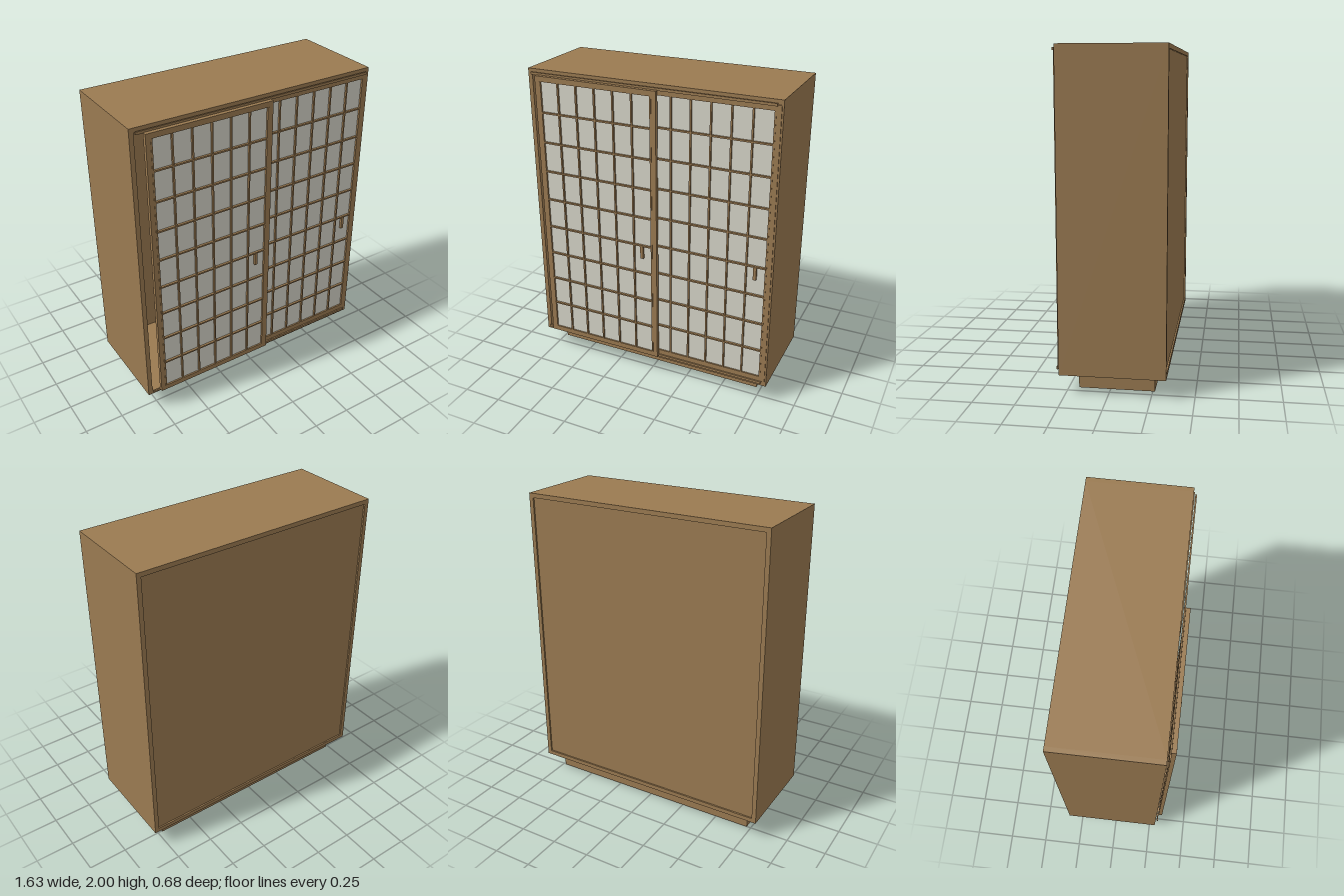
import * as THREE from 'three';

export function createModel() {
  const wood = new THREE.MeshStandardMaterial({ color: 0x9a7a51 });
  wood.name = 'brown wood';
  const paper = new THREE.MeshStandardMaterial({ color: 0xd6d4c8 });
  paper.name = 'pale paper';

  const root = new THREE.Group();
  root.name = 'slidingDoorCabinet';

  // Box given by its lower and upper limits on each axis
  function box(parent, name, [x0, x1], [y0, y1], [z0, z1], mat = wood) {
    const mesh = new THREE.Mesh(new THREE.BoxGeometry(x1 - x0, y1 - y0, z1 - z0), mat);
    mesh.position.set((x0 + x1) / 2, (y0 + y1) / 2, (z0 + z1) / 2);
    mesh.name = name;
    parent.add(mesh);
    return mesh;
  }

  // Carcass: two sides, top, bottom and a slightly recessed back
  const carcass = new THREE.Group();
  carcass.name = 'carcass';
  root.add(carcass);
  const depth = [-0.338, 0.288];
  box(carcass, 'rightSide', [-0.818, -0.79], [0.115, 2], depth);
  box(carcass, 'leftSide', [0.788, 0.816], [0.115, 2], depth);
  box(carcass, 'topBoard', [-0.79, 0.788], [1.972, 2], depth);
  box(carcass, 'bottomBoard', [-0.79, 0.788], [0.115, 0.143], depth);
  box(carcass, 'backPanel', [-0.79, 0.788], [0.143, 1.972], [-0.328, -0.312]);

  // Thin guide rails running between the two doors
  box(root, 'upperRail', [-0.788, 0.784], [1.966, 1.982], [0.298, 0.307]);
  box(root, 'lowerRail', [-0.788, 0.784], [0.138, 0.154], [0.298, 0.307]);

  // Lattice door: frame, paper, glazing bars and pull
  function door(name, x0, zFront, handleX) {
    const g = new THREE.Group();
    g.name = name;
    root.add(g);
    const x1 = x0 + 0.816, y0 = 0.15, y1 = 1.97, f = 0.034;
    const z = [zFront - 0.025, zFront];
    const left = x0 + f, right = x1 - f, low = y0 + f, high = y1 - f;
    box(g, 'stile', [x0, left], [y0, y1], z);
    box(g, 'stile', [right, x1], [y0, y1], z);
    box(g, 'bottomRail', [left, right], [y0, low], z);
    box(g, 'topRail', [left, right], [high, y1], z);
    box(g, 'paperPanel', [left, right], [low, high], [zFront - 0.016, zFront - 0.01], paper);

    const cols = 6, rows = 9, h = 0.005;
    const barZ = [zFront - 0.026, zFront + 0.004];
    for (let i = 0; i <= cols; i++) {
      const x = left + (right - left) * i / cols;
      box(g, 'verticalBar', [x - h, x + h], [low, high], [barZ[0], zFront + 0.002]);
    }
    for (let j = 1; j < rows; j++) {
      const y = low + (high - low) * j / rows;
      box(g, 'horizontalBar', [left, right], [y - h, y + h], barZ);
    }
    box(g, 'handle', [handleX - 0.01, handleX + 0.01], [0.875, 0.96], [zFront - 0.02, zFront + 0.006]);
  }
  door('frontDoor', -0.745, 0.333, -0.03);
  door('rearDoor', -0.01, 0.294, 0.705);

  // Recessed plinth on four low round feet
  box(root, 'plinth', [-0.728, 0.724], [0.01, 0.096], [-0.265, 0.185]);
  for (const x of [-0.585, 0.58]) {
    for (const z of [-0.185, 0.105]) {
      const foot = new THREE.Mesh(new THREE.CylinderGeometry(0.02, 0.02, 0.01, 20), wood);
      foot.position.set(x, 0.005, z);
      foot.name = 'foot';
      root.add(foot);
    }
  }
  return root;
}
